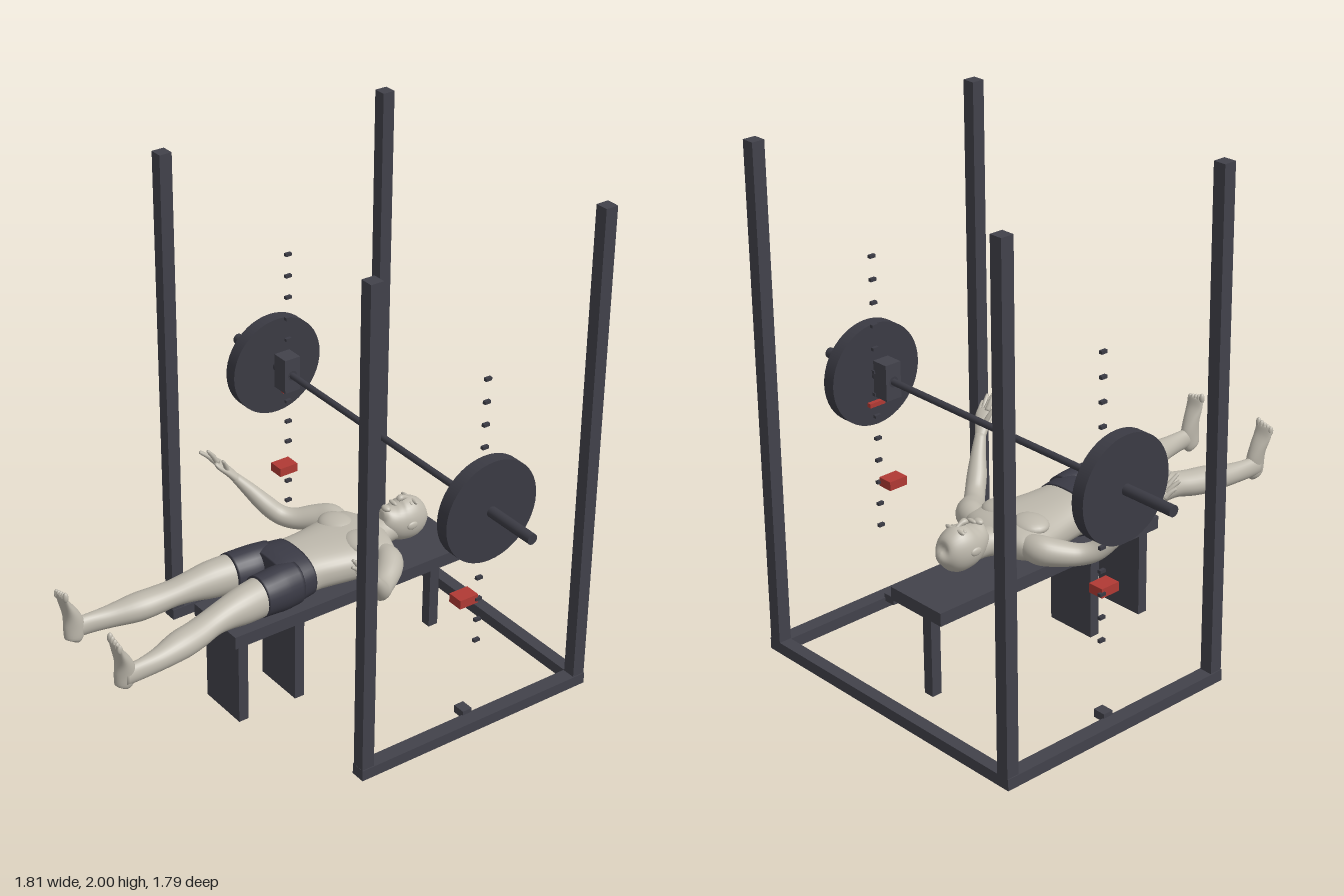
import * as THREE from 'three';

const mat = (name, color) => {
  const m = new THREE.MeshStandardMaterial({ color });
  m.name = name;
  return m;
};

// Tube through sections [x, y, z, halfWidth, halfHeight], rounded by a superellipse exponent.
function loft(sections, { up = [0, 1, 0], power = 2, sides = 28, steps = 4 } = {}) {
  const rings = [];
  const at = i => sections[Math.max(0, Math.min(sections.length - 1, i))];
  for (let i = 0; i < sections.length - 1; i++) {
    for (let k = 0; k < steps; k++) {
      const t = k / steps;
      rings.push(at(i).map((b, d) => {
        const a = at(i - 1)[d], c = at(i + 1)[d], e = at(i + 2)[d];
        return 0.5 * (2 * b + (c - a) * t + (2 * a - 5 * b + 4 * c - e) * t * t + (3 * b - a - 3 * c + e) * t * t * t);
      }));
    }
  }
  rings.push(at(sections.length - 1));
  const centers = rings.map(r => new THREE.Vector3(r[0], r[1], r[2]));
  const upV = new THREE.Vector3(...up), pos = [], index = [], n = rings.length;
  const bend = v => Math.sign(v) * Math.abs(v) ** (2 / power);
  rings.forEach((r, i) => {
    const t = centers[Math.min(i + 1, n - 1)].clone().sub(centers[Math.max(i - 1, 0)]).normalize();
    const side = upV.clone().cross(t).normalize(), top = t.clone().cross(side);
    for (let j = 0; j < sides; j++) {
      const a = j / sides * Math.PI * 2;
      const p = centers[i].clone()
        .addScaledVector(side, bend(Math.cos(a)) * Math.max(r[3], 0.001))
        .addScaledVector(top, bend(Math.sin(a)) * Math.max(r[4], 0.001));
      pos.push(p.x, p.y, p.z);
    }
  });
  for (let i = 0; i < n - 1; i++) for (let j = 0; j < sides; j++) {
    const a = i * sides + j, b = i * sides + (j + 1) % sides;
    index.push(a, b, b + sides, a, b + sides, a + sides);
  }
  const first = n * sides, last = first + 1, end = (n - 1) * sides;
  pos.push(...centers[0].toArray(), ...centers[n - 1].toArray());
  for (let j = 0; j < sides; j++) {
    const k = (j + 1) % sides;
    index.push(first, k, j, last, end + j, end + k);
  }
  const g = new THREE.BufferGeometry();
  g.setAttribute('position', new THREE.Float32BufferAttribute(pos, 3));
  g.setIndex(index);
  g.computeVertexNormals();
  return g;
}

export function createModel() {
  const model = new THREE.Group();
  const steel = mat('frame charcoal', 0x42424b);
  const iron = mat('weight charcoal', 0x3b3b44);
  const red = mat('safety red', 0xb03a34);
  const skin = mat('pale skin', 0xbdb8ac);
  const cloth = mat('shorts charcoal', 0x3a3a45);

  const add = (parent, name, geometry, material) => {
    const m = new THREE.Mesh(geometry, material);
    m.name = name;
    parent.add(m);
    return m;
  };
  const group = name => {
    const g = new THREE.Group();
    g.name = name;
    model.add(g);
    return g;
  };
  // Box from its minimum and maximum corners
  const box = (p, name, m, x0, x1, y0, y1, z0, z1) => {
    const b = add(p, name, new THREE.BoxGeometry(Math.abs(x1 - x0), y1 - y0, z1 - z0), m);
    b.position.set((x0 + x1) / 2, (y0 + y1) / 2, (z0 + z1) / 2);
  };
  const rod = (p, name, m, x0, x1, r, sides) => {
    const c = add(p, name, new THREE.CylinderGeometry(r, r, Math.abs(x1 - x0), sides), m);
    c.rotation.z = Math.PI / 2;
    c.position.set((x0 + x1) / 2, 0.972, -0.372);
  };
  const ball = (p, name, m, x, y, z, rx, ry, rz) => {
    const b = add(p, name, new THREE.SphereGeometry(1, 24, 16), m);
    b.position.set(x, y, z);
    b.scale.set(rx, ry, rz);
  };

  // Rack, barbell and safety stops
  const rack = group('rack'), barbell = group('barbell'), stops = group('safetyStops');
  box(rack, 'rearRail', steel, -0.658, 0.658, 0, 0.045, -0.897, -0.847);
  rod(barbell, 'bar', iron, -0.54, 0.54, 0.013, 20);
  for (const s of [-1, 1]) {
    box(rack, 'frontPost', steel, s * 0.604, s * 0.656, 0, 2, 0.104, 0.156);
    box(rack, 'rearPost', steel, s * 0.604, s * 0.656, 0, 2, -0.897, -0.845);
    box(rack, 'sideRail', steel, s * 0.6, s * 0.66, 0, 0.045, -0.897, 0.157);
    box(rack, 'railBlock', steel, s * 0.553, s * 0.605, 0.03, 0.062, -0.39, -0.348);
    for (let i = 0; i < 13; i++) {
      const y = 0.365 + i * 0.091;
      box(rack, 'heightMark', iron, s * 0.592, s * 0.606, y - 0.006, y + 0.006, -0.413, -0.387);
    }
    box(stops, 'safetyStop', red, s * 0.536, s * 0.6, 0.53, 0.566, -0.4, -0.318);
    box(stops, 'hookPin', red, s * 0.586, s * 0.604, 0.867, 0.884, -0.44, -0.37);
    box(barbell, 'collarBlock', steel, s * 0.53, s * 0.602, 0.902, 1.046, -0.408, -0.338);
    rod(barbell, 'sleeve', iron, s * 0.53, s * 0.907, 0.021, 24);
    rod(barbell, 'weightPlate', iron, s * 0.632, s * 0.685, 0.203, 48);
  }

  // Bench
  const bench = group('bench');
  box(bench, 'benchPad', steel, -0.136, 0.136, 0.358, 0.41, -0.736, 0.352);
  box(bench, 'frontLeg', steel, -0.108, 0.108, 0, 0.36, 0.279, 0.321);
  box(bench, 'middleLeg', steel, -0.108, 0.108, 0, 0.36, 0.024, 0.066);
  box(bench, 'rearLeg', steel, -0.022, 0.022, 0, 0.36, -0.686, -0.643);

  // Torso and neck
  const person = group('lyingPerson');
  const zLoft = (rows, options) => loft(rows.map(([z, top, bottom, r]) =>
    [0, (top + bottom) / 2, z, r, (top - bottom) / 2]), options);
  add(person, 'torso', zLoft([
    [-0.395, 0.56, 0.48, 0.06], [-0.365, 0.575, 0.468, 0.15], [-0.325, 0.588, 0.455, 0.188],
    [-0.26, 0.594, 0.437, 0.18], [-0.19, 0.593, 0.43, 0.164], [-0.11, 0.594, 0.43, 0.147],
    [-0.04, 0.598, 0.43, 0.136], [0.01, 0.6, 0.425, 0.137]], { power: 2.4, sides: 40 }), skin);
  add(person, 'neck', zLoft([[-0.5, 0.57, 0.47, 0.05], [-0.44, 0.573, 0.472, 0.053],
    [-0.4, 0.574, 0.468, 0.06], [-0.34, 0.57, 0.462, 0.1]]), skin);

  // Head, facing up
  add(person, 'head', zLoft([
    [-0.615, 0.556, 0.55, 0.003], [-0.608, 0.585, 0.51, 0.034], [-0.585, 0.614, 0.478, 0.056],
    [-0.55, 0.631, 0.459, 0.069], [-0.51, 0.632, 0.46, 0.072], [-0.475, 0.632, 0.475, 0.065],
    [-0.445, 0.628, 0.51, 0.053], [-0.424, 0.622, 0.55, 0.035], [-0.414, 0.605, 0.575, 0.012]],
  { sides: 36 }), skin);
  add(person, 'nose', loft([[0, 0.624, -0.542, 0.007, 0.006], [0, 0.634, -0.52, 0.009, 0.01],
    [0, 0.64, -0.5, 0.014, 0.012], [0, 0.632, -0.489, 0.009, 0.006]]), skin);
  ball(person, 'lips', skin, 0, 0.63, -0.466, 0.022, 0.008, 0.009);
  ball(person, 'chin', skin, 0, 0.616, -0.434, 0.022, 0.013, 0.016);

  // Shorts
  const shorts = group('shorts');
  add(shorts, 'shortsHips', zLoft([[-0.012, 0.602, 0.422, 0.14], [0.03, 0.605, 0.419, 0.148],
    [0.08, 0.604, 0.418, 0.158], [0.12, 0.595, 0.43, 0.155]], { power: 2.4, sides: 40 }), cloth);

  for (const s of [-1, 1]) {
    const half = (rows, options) => loft(rows.map(([x, ...rest]) => [x * s, ...rest]), options);
    ball(person, 'chestMuscle', skin, s * 0.078, 0.572, -0.255, 0.078, 0.032, 0.066);
    ball(person, 'ear', skin, s * 0.071, 0.548, -0.508, 0.008, 0.016, 0.024);
    ball(person, 'brow', skin, s * 0.028, 0.622, -0.545, 0.022, 0.009, 0.008);
    ball(person, 'eye', skin, s * 0.028, 0.618, -0.528, 0.012, 0.009, 0.007);
    add(shorts, 'shortsLeg', half([[0.085, 0.512, 0.05, 0.07, 0.086], [0.086, 0.513, 0.12, 0.079, 0.09],
      [0.091, 0.516, 0.18, 0.078, 0.085], [0.093, 0.517, 0.226, 0.076, 0.083]]), cloth);

    // Leg and foot
    add(person, 'leg', half([
      [0.092, 0.517, 0.19, 0.073, 0.079], [0.105, 0.515, 0.3, 0.068, 0.072],
      [0.113, 0.512, 0.38, 0.059, 0.058], [0.122, 0.505, 0.45, 0.055, 0.048],
      [0.135, 0.493, 0.52, 0.057, 0.05], [0.147, 0.484, 0.6, 0.057, 0.052],
      [0.165, 0.475, 0.7, 0.041, 0.043], [0.176, 0.472, 0.79, 0.029, 0.04],
      [0.178, 0.472, 0.855, 0.028, 0.04]]), skin);
    add(person, 'foot', half([
      [0.17, 0.424, 0.855, 0.014, 0.02], [0.172, 0.438, 0.85, 0.026, 0.037],
      [0.175, 0.49, 0.846, 0.03, 0.042], [0.178, 0.54, 0.855, 0.034, 0.03],
      [0.182, 0.59, 0.875, 0.04, 0.017], [0.184, 0.625, 0.885, 0.04, 0.012],
      [0.184, 0.632, 0.886, 0.036, 0.008]], { up: [0, 0, 1] }), skin);
    for (let i = 0; i < 5; i++) {
      ball(person, 'toe', skin, s * (0.152 + i * 0.016), 0.635 - i * 0.004, 0.886,
        i ? 0.008 : 0.011, i ? 0.018 : 0.021, 0.011);
    }

    // Arm, palm and spread fingers
    add(person, 'arm', half([
      [0.13, 0.525, -0.315, 0.045, 0.045], [0.185, 0.525, -0.307, 0.054, 0.055],
      [0.232, 0.517, -0.268, 0.052, 0.05], [0.283, 0.508, -0.207, 0.042, 0.041],
      [0.325, 0.523, -0.163, 0.039, 0.038], [0.36, 0.567, -0.122, 0.038, 0.036],
      [0.4, 0.625, -0.078, 0.029, 0.028], [0.435, 0.68, -0.035, 0.021, 0.018]]), skin);
    add(person, 'palm', half([
      [0.43, 0.672, -0.041, 0.02, 0.017], [0.447, 0.704, -0.016, 0.027, 0.016],
      [0.466, 0.736, 0.014, 0.035, 0.014], [0.475, 0.755, 0.03, 0.031, 0.009]]), skin);
    const fingers = [
      [[0.492, 0.735, 0.012], [0.515, 0.768, 0.05]], [[0.485, 0.742, 0.022], [0.512, 0.79, 0.072]],
      [[0.475, 0.75, 0.028], [0.488, 0.805, 0.088]], [[0.462, 0.752, 0.025], [0.464, 0.815, 0.068]],
      [[0.445, 0.705, -0.01], [0.424, 0.775, 0.025]]];
    for (const [a, b] of fingers) {
      const mid = a.map((v, i) => (v + b[i]) / 2 + (i === 1 ? 0.004 : 0));
      add(person, 'finger', half([[...a, 0.011, 0.011], [...mid, 0.009, 0.009],
        [...b, 0.006, 0.006]], { sides: 12 }), skin);
    }
  }
  return model;
}
